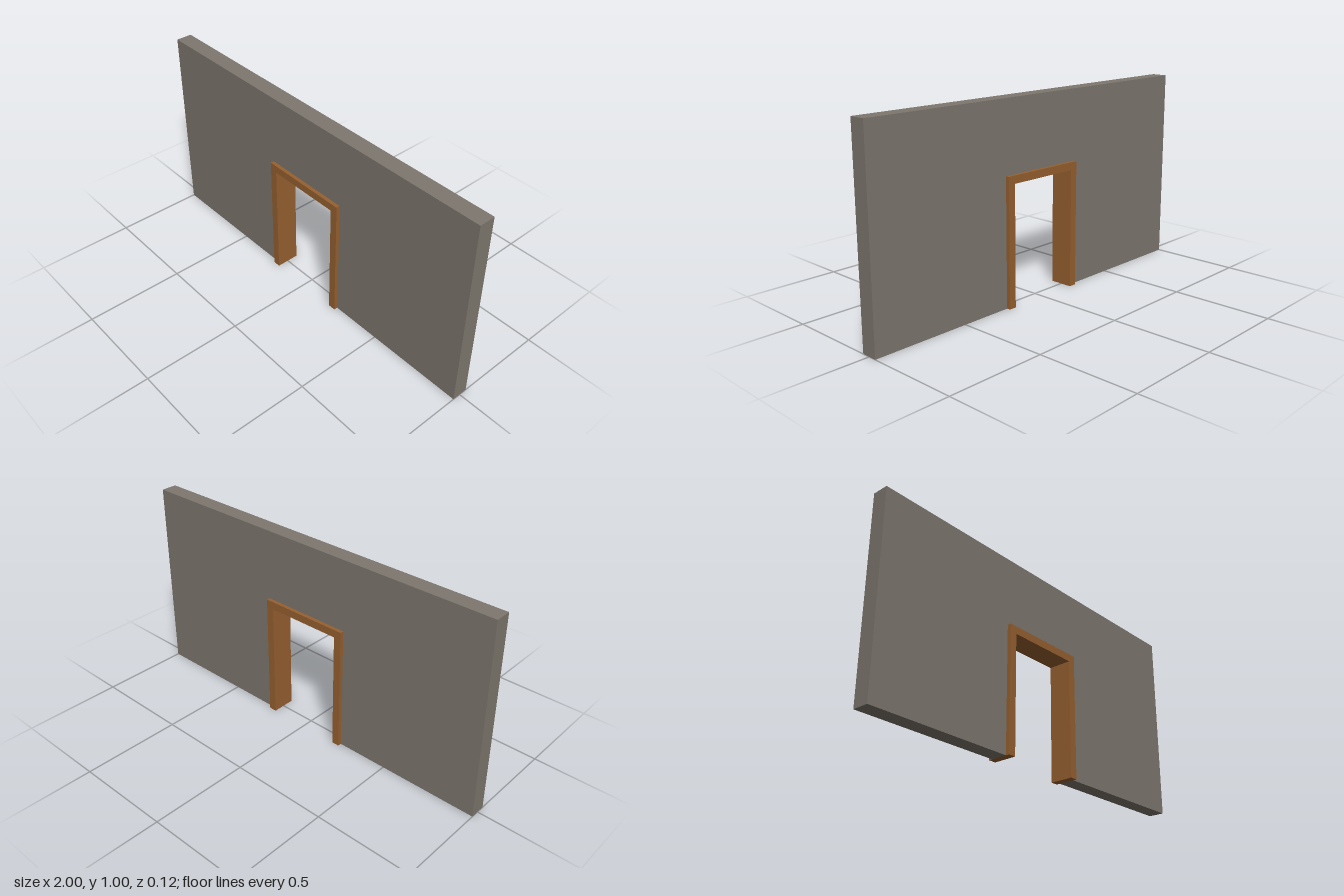
import * as THREE from 'three';

const stone = new THREE.MeshStandardMaterial({ color: 0x7d776e });
stone.name = 'stone grey';
const wood = new THREE.MeshStandardMaterial({ color: 0x966030 });
wood.name = 'wood brown';

// Arch outline standing on the floor: outer rectangle with a doorway cut from below
function portal(name, outerX, outerY, innerX, innerY, depth, material) {
  const shape = new THREE.Shape([
    [-outerX, 0], [-innerX, 0], [-innerX, innerY], [innerX, innerY],
    [innerX, 0], [outerX, 0], [outerX, outerY], [-outerX, outerY],
  ].map(([x, y]) => new THREE.Vector2(x, y)));
  const geometry = new THREE.ExtrudeGeometry(shape, { depth, bevelEnabled: false });
  geometry.translate(0, 0, -depth / 2);
  const mesh = new THREE.Mesh(geometry, material);
  mesh.name = name;
  return mesh;
}

export function createModel() {
  const model = new THREE.Group();
  model.name = 'doorwayWall';
  // Wall slab, cut to fit around the frame
  model.add(portal('wall', 1, 1, 0.235, 0.643, 0.082, stone));
  // Door frame, lining the opening and standing proud on both sides
  model.add(portal('doorFrame', 0.235, 0.643, 0.196, 0.604, 0.12, wood));
  return model;
}
